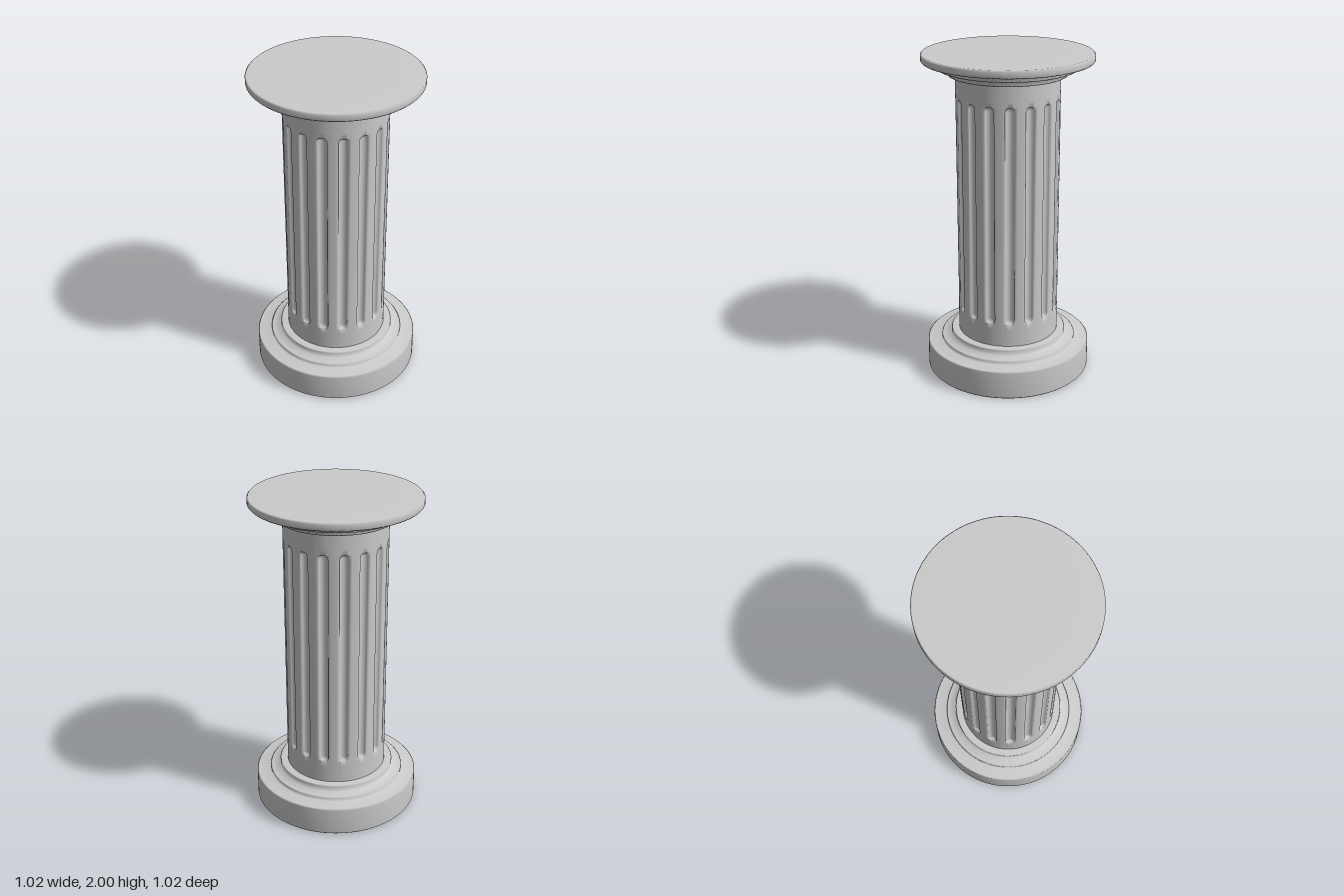
import * as THREE from 'three';

const material = new THREE.MeshStandardMaterial({ color: 0xcccccc });
const FLUTES = 16, RADIUS = 0.31, DEPTH = 0.025;
const SLOT = 5.4, PITCH = 360 / FLUTES, OFFSET = 5.625; // degrees

// Stepped round block turned from a profile; a tiny bevel softens each outer corner.
function turned(name, points) {
  const profile = points.map(([r, y]) => new THREE.Vector2(r, y));
  const mesh = new THREE.Mesh(new THREE.LatheGeometry(profile, 96), material);
  mesh.name = name;
  return mesh;
}

// Fluted shaft: an open cylinder whose columns and rows are moved into round-ended slots.
function flutedShaft() {
  // Rows: height, slot width factor, slot depth factor; mirrored about mid height.
  const lower = [
    [0.24, 0.6, 0], [0.36, 0.6, 0], [0.394, 0.6, 0],
    [0.397, 0.68, 0.7], [0.406, 0.88, 0.88], [0.42, 1, 1], [0.75, 1, 1],
  ];
  const middle = (0.394 + 1.742) / 2;
  const upper = lower.map(([y, w, d]) => [2 * middle - y, w, d]).reverse();
  upper[upper.length - 1][0] = 1.885;
  const rows = [...lower, ...upper].reverse(); // cylinder rows run top to bottom

  const perFlute = 12, columns = FLUTES * perFlute;
  const geometry = new THREE.CylinderGeometry(RADIUS, RADIUS, 1, columns, rows.length - 1, true);
  const position = geometry.attributes.position;
  for (let i = 0; i < position.count; i++) {
    const [y, width, depth] = rows[Math.floor(i / (columns + 1))];
    const column = i % (columns + 1);
    const j = column % perFlute;
    let local, radius = RADIUS;
    if (j === 0) local = -PITCH / 2;
    else if (j === 1) local = -8;
    else if (j === 11) local = 8;
    else {
      const t = -Math.cos((j - 2) / 8 * Math.PI);
      local = t * SLOT * width;
      radius -= DEPTH * depth * Math.sqrt(Math.max(0, 1 - t * t));
    }
    const angle = THREE.MathUtils.degToRad(OFFSET + Math.floor(column / perFlute) * PITCH + local);
    position.setXYZ(i, radius * Math.sin(angle), y, radius * Math.cos(angle));
  }
  geometry.computeVertexNormals();
  const mesh = new THREE.Mesh(geometry, material);
  mesh.name = 'flutedShaft';
  return mesh;
}

export function createModel() {
  const group = new THREE.Group();
  group.name = 'column';

  // Thick plinth with two narrowing steps
  group.add(turned('base', [
    [0, 0], [0.3, 0], [0.5, 0], [0.508, 0.008],
    [0.508, 0.172], [0.5, 0.18], [0.42, 0.18],
    [0.42, 0.2], [0.412, 0.208], [0.358, 0.208],
    [0.358, 0.243], [0.352, 0.25], [0.3, 0.25],
  ]));

  group.add(flutedShaft());

  // Two widening steps under a thin round slab
  group.add(turned('capital', [
    [0.3, 1.875], [0.352, 1.875], [0.358, 1.882],
    [0.358, 1.913], [0.412, 1.913], [0.42, 1.921],
    [0.42, 1.953], [0.5, 1.953], [0.508, 1.961],
    [0.508, 1.992], [0.5, 2], [0.3, 2], [0, 2],
  ]));

  return group;
}
